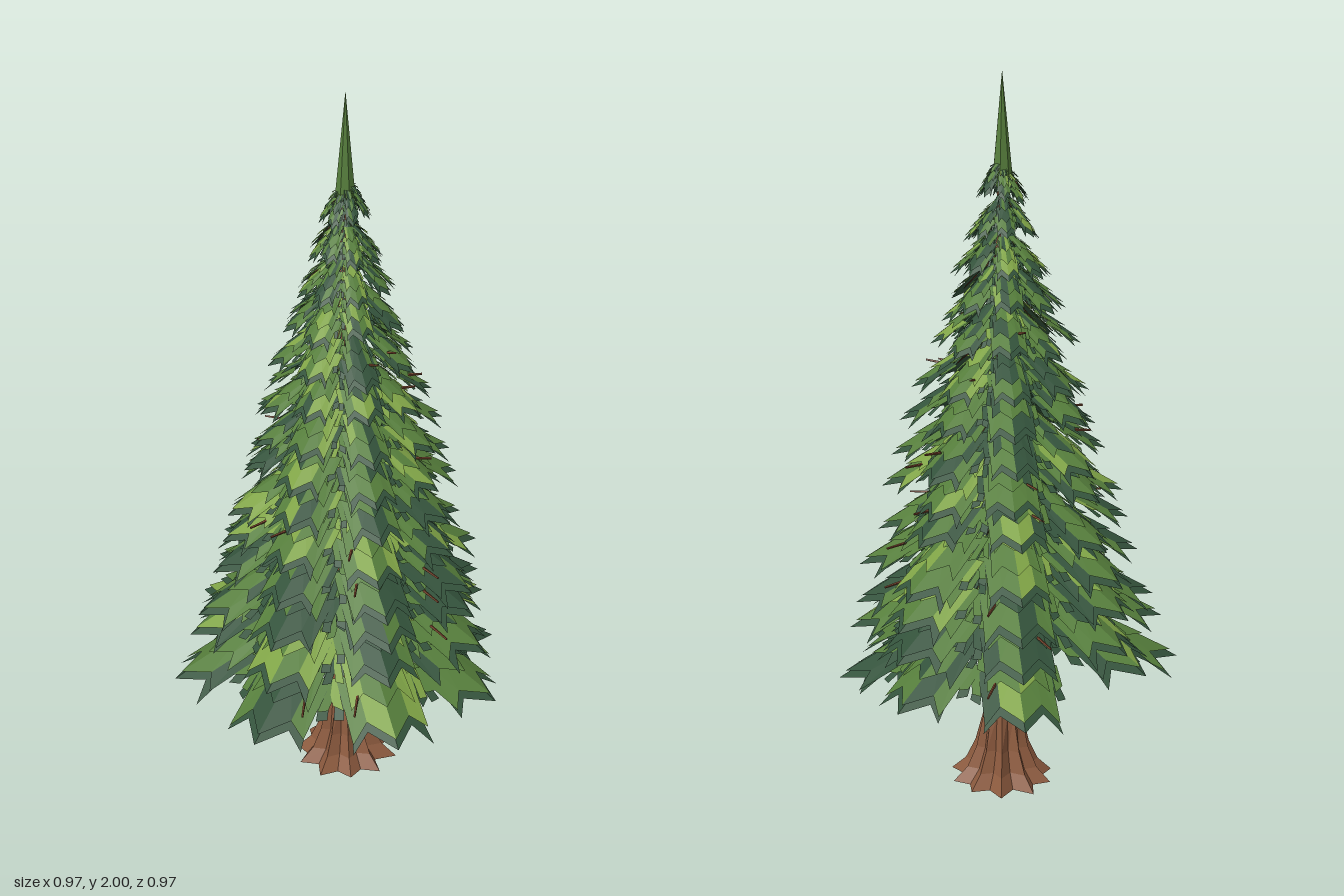
import * as THREE from 'three';
import { mergeGeometries } from 'three/addons/utils/BufferGeometryUtils.js';

const CX = -0.005, CZ = -0.03;          // trunk axis
const TIERS = 14, BOUGHS = 8;
const GREENS = [0x33523b, 0x557d3b, 0x7fa346];
const greenMats = GREENS.map((color) => new THREE.MeshStandardMaterial({
  color, flatShading: true, side: THREE.DoubleSide }));
const barkMat = new THREE.MeshStandardMaterial({ color: 0x8c5a3e, flatShading: true });
const twigMat = new THREE.MeshStandardMaterial({ color: 0x74432c, flatShading: true });
const soleMat = new THREE.MeshStandardMaterial({ color: 0x7a5038, flatShading: true });

let seed = 11;
function rand() {
  seed = (seed * 16807) % 2147483647;
  return seed / 2147483647;
}
const jitter = (amount) => (rand() * 2 - 1) * amount;

function addMesh(parent, name, geometry, material) {
  const mesh = new THREE.Mesh(geometry, material);
  mesh.name = name;
  parent.add(mesh);
  return mesh;
}

function sheetGeometry(points) {
  const g = new THREE.BufferGeometry();
  g.setAttribute('position', new THREE.Float32BufferAttribute(points, 3));
  g.computeVertexNormals();
  return g;
}

// Thin stick between two points
function stick(from, to, r0, r1) {
  const dir = to.clone().sub(from);
  const g = new THREE.CylinderGeometry(r1, r0, dir.length(), 4);
  g.translate(0, dir.length() / 2, 0);
  g.applyQuaternion(new THREE.Quaternion().setFromUnitVectors(
    new THREE.Vector3(0, 1, 0), dir.normalize()));
  return g.translate(from.x, from.y, from.z);
}

// Fluted trunk flaring into root lobes
function makeTrunk(group) {
  const sides = 20;
  const rows = [[0, 0.15], [0.04, 0.108], [0.1, 0.08], [0.2, 0.056], [0.4, 0.051], [1.0, 0.034], [1.75, 0.012]];
  const g = new THREE.CylinderGeometry(1, 1, 1, sides, rows.length - 1, true);
  const p = g.attributes.position;
  for (let i = 0; i < p.count; i++) {
    const row = rows.length - 1 - Math.floor(i / (sides + 1));
    const col = (i % (sides + 1)) % sides;
    const [y, r] = rows[row];
    const groove = col % 2 ? (row < 3 ? 0.72 : 0.86) : 1;
    const lobe = 1 + 0.05 * Math.sin(col * 2.3) * (row < 3 ? 1 : 0);
    const a = (col / sides) * Math.PI * 2;
    p.setXYZ(i, CX + Math.sin(a) * r * groove * lobe, y, CZ + Math.cos(a) * r * groove * lobe);
  }
  addMesh(group, 'trunk', g, barkMat);

  // Star-shaped underside of the roots
  const shape = new THREE.Shape();
  for (let c = 0; c < sides; c++) {
    const a = (c / sides) * Math.PI * 2;
    const r = 0.15 * (c % 2 ? 0.72 : 1) * (1 + 0.05 * Math.sin(c * 2.3));
    shape[c ? 'lineTo' : 'moveTo'](Math.sin(a) * r, Math.cos(a) * r);
  }
  const sole = addMesh(group, 'rootUnderside', new THREE.ShapeGeometry(shape), soleMat);
  sole.rotation.x = Math.PI / 2;
  sole.position.set(CX, 0.001, CZ);
}

// One drooping bough: a dark sheet with overlapping serrated needle sprays
function addBough(buckets, twigs, angle, reach, tipY, rise) {
  const ca = Math.cos(angle), sa = Math.sin(angle);
  const at = (u, s, lift) => new THREE.Vector3(
    CX + u * ca - s * sa,
    tipY + rise * (1 - u / reach) - 0.4 * Math.abs(s) + lift,
    CZ + u * sa + s * ca);

  // Fractions of the width, and the jagged ends of each strip
  const widths = [0, 0.45, 0.82, 1];
  const ends = [[1, 0.85], [0.85, 0.91], [0.74, 0.7]];

  const spray = (inner, outer, lift, pickColor) => {
    for (const side of [-1, 1]) {
      for (let k = 0; k < 3; k++) {
        const [f0, f1] = [widths[k], widths[k + 1]];
        const wIn = inner * 0.42 * side, wOut = outer * 0.275 * side;
        const e1 = ends[k][1] + (k ? jitter(0.025) : 0);
        const a = at(inner * (1 - 0.15 * f0), f0 * wIn, 0);
        const b = at(inner * (1 - 0.15 * f1), f1 * wIn, 0);
        const c = at(outer * e1, f1 * wOut, lift);
        const d = at(outer * ends[k][0], f0 * wOut, lift);
        const corners = side > 0 ? [a, b, c, a, c, d] : [a, c, b, a, d, c];
        const out = buckets[pickColor()];
        for (const v of corners) out.push(v.x, v.y, v.z);
      }
    }
  };

  spray(0.012, reach, 0, () => 0);
  const tone = rand();
  const pick = () => {
    const v = rand() * 0.6 + tone * 0.4;
    return v < 0.38 ? 0 : v < 0.72 ? 1 : 2;
  };
  [0.96, 0.8, 0.62].forEach((f, n) => {
    spray(reach * (f - 0.36), reach * f, 0.009 + 0.004 * n, pick);
  });

  // Supporting branch and an occasional bare side twig
  twigs.push(stick(at(0.01, 0, -0.008), at(reach * 0.75, 0, -0.008), 0.006 * reach / 0.48 + 0.001, 0.001));
  if (reach > 0.2 && rand() < 0.35) {
    const s = rand() < 0.5 ? -1 : 1;
    twigs.push(stick(at(reach * 0.68, s * reach * 0.13, 0.012),
      at(reach * 0.82, s * reach * 0.19, 0.05), 0.004, 0.003));
  }
}

export function createModel() {
  const group = new THREE.Group();
  group.name = 'coniferTree';
  makeTrunk(group);

  // Tiers of boughs, shrinking toward the top
  const twigs = [];
  for (let t = 0; t < TIERS; t++) {
    const tier = new THREE.Group();
    tier.name = `boughTier${t + 1}`;
    group.add(tier);
    const buckets = GREENS.map(() => []);
    const baseY = t ? 0.36 + 0.1 * t : 0.335;
    const baseReach = t ? 0.47 - 0.0305 * t + 0.015 * Math.sin(Math.PI * t / 13) : 0.485;
    for (let b = 0; b < BOUGHS; b++) {
      const angle = (b / BOUGHS) * Math.PI * 2;
      let reach = baseReach, y = baseY;
      if (t) {
        reach *= 1 + jitter(0.05);
        y += jitter(t < 11 ? 0.025 : 0.012);
      } else {
        // Lowest tier: longer toward the front, raised on the right
        reach += 0.03 * Math.sin(angle);
        y += b === 4 ? 0.09 : jitter(0.012);
      }
      addBough(buckets, twigs, angle + (t ? jitter(0.03) : 0), reach, y, 0.43 * reach + 0.085);
    }
    buckets.forEach((points, i) => {
      if (points.length) addMesh(tier, ['darkNeedles', 'midNeedles', 'lightNeedles'][i],
        sheetGeometry(points), greenMats[i]);
    });
  }
  addMesh(group, 'branches', mergeGeometries(twigs), twigMat);

  // Pointed leader at the very top
  const leader = new THREE.LatheGeometry([
    new THREE.Vector2(0.03, 1.7), new THREE.Vector2(0.022, 1.78),
    new THREE.Vector2(0.012, 1.88), new THREE.Vector2(0, 2)], 7);
  addMesh(group, 'treetop', leader, greenMats[1]).position.set(CX, 0, CZ);
  return group;
}
